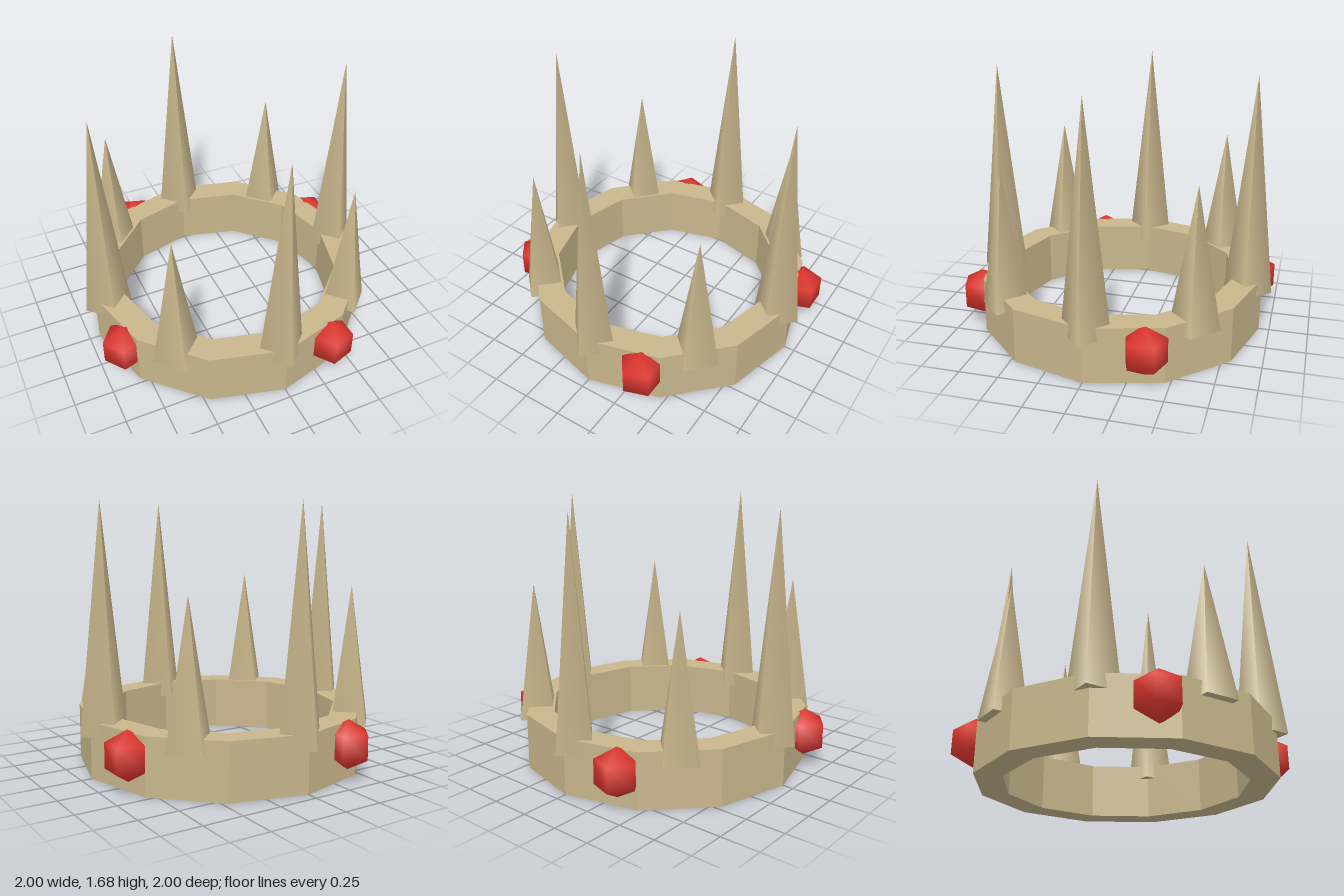
import * as THREE from 'three';

const gold = new THREE.MeshStandardMaterial({ color: 0xc8b68c });
gold.name = 'dull gold';
const ruby = new THREE.MeshStandardMaterial({ color: 0xdc352d });
ruby.name = 'ruby red';

const OUTER = 0.933, INNER = 0.757, BAND_HEIGHT = 0.357;

// Corner points of a regular polygon
function polygon(radius, sides) {
  return Array.from({ length: sides }, (_, i) => {
    const a = (i / sides) * Math.PI * 2;
    return new THREE.Vector2(Math.cos(a) * radius, Math.sin(a) * radius);
  });
}

function addMesh(parent, name, geometry, material, x = 0, y = 0, z = 0) {
  const mesh = new THREE.Mesh(geometry, material);
  mesh.name = name;
  mesh.position.set(x, y, z);
  parent.add(mesh);
}

export function createModel() {
  const crown = new THREE.Group();
  crown.name = 'crown';

  // Twelve-sided band
  const ring = new THREE.Shape(polygon(OUTER, 12));
  ring.holes.push(new THREE.Path(polygon(INNER, 12).reverse()));
  const band = new THREE.ExtrudeGeometry(ring, { depth: BAND_HEIGHT, bevelEnabled: false });
  band.rotateX(-Math.PI / 2);
  addMesh(crown, 'band', band, gold);

  // Eight four-sided spikes, tall and short in turn, all aligned to the axes
  const spikeBase = 0.27, spikeRing = 0.845;
  for (let i = 0; i < 8; i++) {
    const tall = i % 2 === 0;
    const height = (tall ? 1.68 : 1.155) - spikeBase;
    const a = (i / 8) * Math.PI * 2;
    addMesh(crown, tall ? 'tallSpike' : 'shortSpike',
      new THREE.ConeGeometry(0.155, height, 4), gold,
      Math.sin(a) * spikeRing, spikeBase + height / 2, Math.cos(a) * spikeRing);
  }

  // Four smooth low-poly gems set between the spikes
  const gem = new THREE.SphereGeometry(0.155, 5, 3);
  for (let i = 0; i < 4; i++) {
    const a = Math.PI / 8 + (i * Math.PI) / 2;
    addMesh(crown, 'gem', gem, ruby, Math.sin(a) * OUTER, 0.225, Math.cos(a) * OUTER);
  }

  return crown;
}
